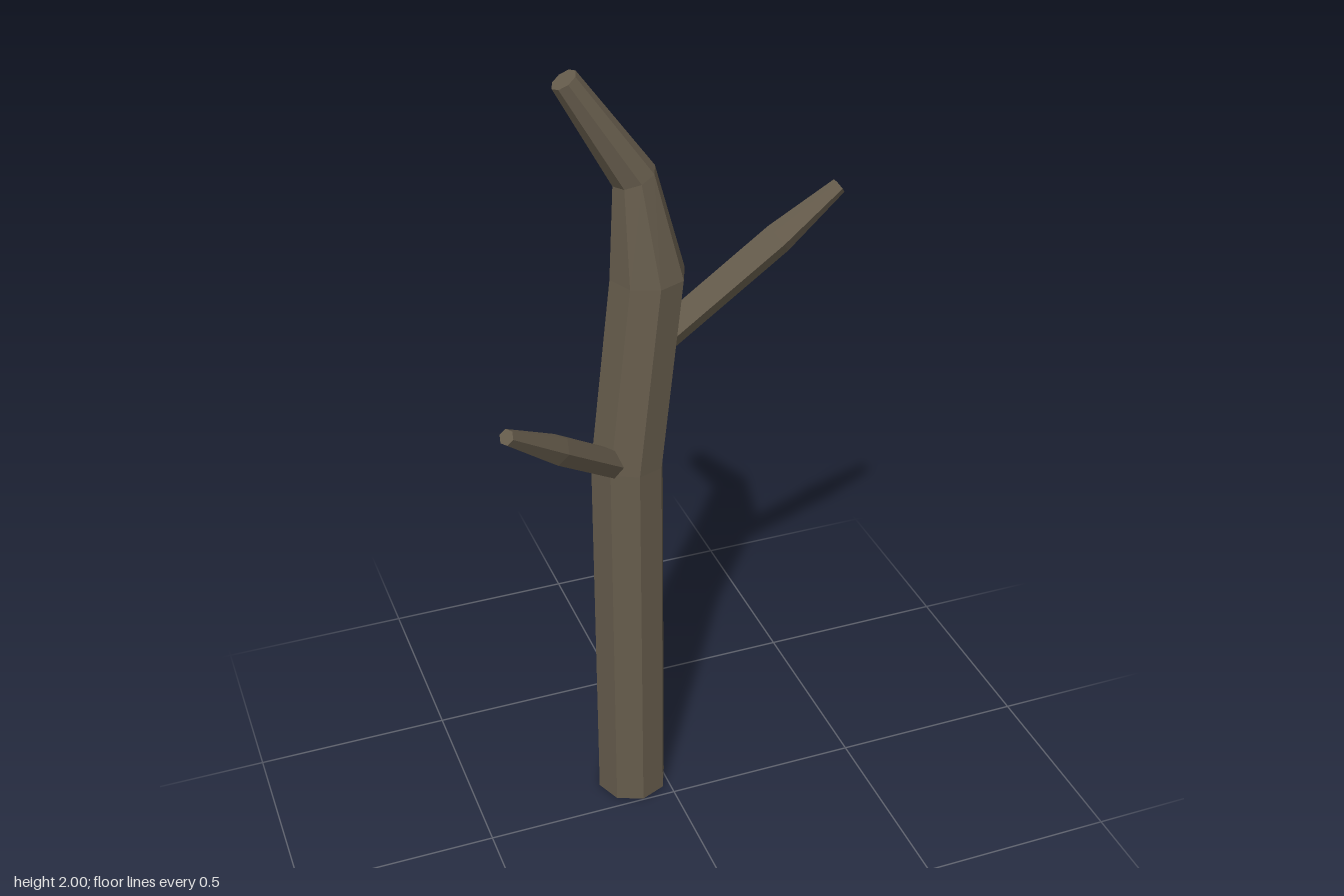
import * as THREE from 'three';

const bark = new THREE.MeshStandardMaterial({ color: 0x665c4c, flatShading: true });

// Faceted, capped limb through points [x, y, z, radius]; rings are mitred at each bend.
function limb(name, points, sides, sideAxis) {
  const centres = points.map(p => new THREE.Vector3(p[0], p[1], p[2]));
  const n = centres.length;
  const step = k => centres[k + 1].clone().sub(centres[k]).normalize();
  const positions = [];
  const indices = [];

  centres.forEach((c, k) => {
    const dir = new THREE.Vector3();
    if (k > 0) dir.add(step(k - 1));
    if (k < n - 1) dir.add(step(k));
    dir.normalize();
    const up = dir.clone().cross(sideAxis).normalize();
    for (let i = 0; i < sides; i++) {
      const a = (i / sides) * Math.PI * 2;
      const v = c.clone()
        .addScaledVector(sideAxis, Math.cos(a) * points[k][3])
        .addScaledVector(up, Math.sin(a) * points[k][3]);
      positions.push(v.x, v.y, v.z);
    }
  });

  // Side faces
  for (let k = 0; k < n - 1; k++) {
    for (let i = 0; i < sides; i++) {
      const j = (i + 1) % sides;
      const a = k * sides + i, b = k * sides + j;
      indices.push(a, b, b + sides, a, b + sides, a + sides);
    }
  }
  // End caps
  const last = (n - 1) * sides;
  for (let i = 1; i < sides - 1; i++) {
    indices.push(0, i + 1, i, last, last + i, last + i + 1);
  }

  const indexed = new THREE.BufferGeometry();
  indexed.setAttribute('position', new THREE.Float32BufferAttribute(positions, 3));
  indexed.setIndex(indices);
  const geometry = indexed.toNonIndexed();
  geometry.computeVertexNormals();
  const mesh = new THREE.Mesh(geometry, bark);
  mesh.name = name;
  return mesh;
}

// Horizontal axis square to a branch's heading
const across = (dx, dz) => new THREE.Vector3(dz, 0, -dx).normalize();

export function createModel() {
  const tree = new THREE.Group();
  tree.name = 'bareTree';

  // Trunk: straight bole, then a crooked tapering top
  tree.add(limb('trunk', [
    [-0.085, 0, -0.094, 0.091],
    [-0.085, 1.01, -0.094, 0.091],
    [-0.03, 1.495, -0.094, 0.091],
    [-0.06, 1.74, -0.094, 0.053],
    [-0.214, 1.983, -0.094, 0.032],
  ], 8, new THREE.Vector3(0, 0, 1)));

  // Upper branch on the left
  tree.add(limb('leftBranch', [
    [-0.02, 1.295, -0.105, 0.037],
    [0.297, 1.522, -0.105, 0.037],
    [0.447, 1.631, -0.105, 0.019],
  ], 6, across(1, 0)));

  // Lower branch on the right, reaching forward
  tree.add(limb('rightBranch', [
    [-0.11, 1.01, -0.07, 0.037],
    [-0.31, 1.18, 0.07, 0.037],
    [-0.45, 1.3, 0.168, 0.019],
  ], 6, across(-0.34, 0.238)));

  return tree;
}
